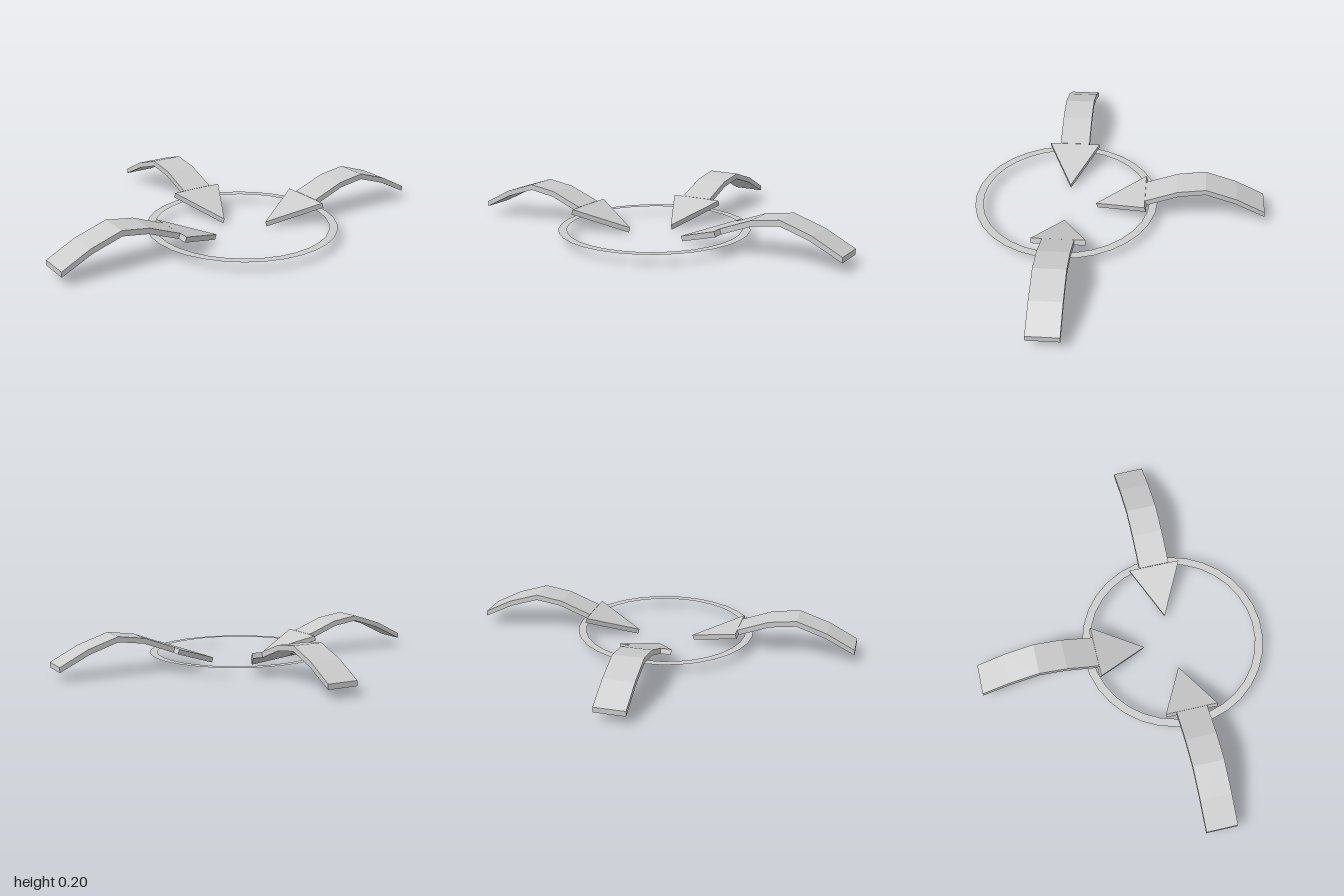
import * as THREE from 'three';

const material = new THREE.MeshStandardMaterial({ color: 0xcccccc, flatShading: true, side: THREE.DoubleSide });
const CENTER_Z = 0.264;

function polygon(points) {
  return new THREE.Shape(points.map(([x, y]) => new THREE.Vector2(x, y)));
}

// One curved arrow pointing at the origin, its tail reaching out along +x
function createArrow(name) {
  const arrow = new THREE.Group();
  arrow.name = name;

  // Bent shaft: side profile extruded across its width
  const top = [[0.4, 0.115], [0.56, 0.176], [0.7, 0.196], [0.856, 0.145], [1, 0.071]];
  const bottom = [[0.409, 0.089], [0.566, 0.149], [0.7, 0.168], [0.85, 0.119], [1, 0.045]];
  const width = 0.156;
  const shaftGeometry = new THREE.ExtrudeGeometry(polygon([...bottom, ...top.reverse()]), {
    depth: width, bevelEnabled: false,
  });
  shaftGeometry.translate(0, 0, -width / 2);
  const shaft = new THREE.Mesh(shaftGeometry, material);
  shaft.name = 'arrowShaft';

  // Flat triangular head, tilted down to its tip
  const length = 0.268;
  const headGeometry = new THREE.ExtrudeGeometry(polygon([[0, 0], [length, -0.132], [length, 0.132]]), {
    depth: 0.027, bevelEnabled: false,
  });
  headGeometry.rotateX(-Math.PI / 2);
  headGeometry.rotateZ(0.338);
  headGeometry.translate(0.155, 0, 0);
  const head = new THREE.Mesh(headGeometry, material);
  head.name = 'arrowHead';

  arrow.add(shaft, head);
  return arrow;
}

export function createModel() {
  const model = new THREE.Group();
  model.name = 'arrowsAroundRing';

  // Arrows from the left, the back and the right
  ['leftArrow', 'backArrow', 'rightArrow'].forEach((name, i) => {
    const arrow = createArrow(name);
    arrow.rotation.y = i * Math.PI / 2;
    arrow.position.z = CENTER_Z;
    model.add(arrow);
  });

  // Thin flat ring below the arrows
  const ringGeometry = new THREE.RingGeometry(0.425, 0.466, 32);
  ringGeometry.rotateX(-Math.PI / 2);
  const ring = new THREE.Mesh(ringGeometry, material);
  ring.name = 'ring';
  ring.position.set(0, 0.05, CENTER_Z + 0.004);
  model.add(ring);

  return model;
}
